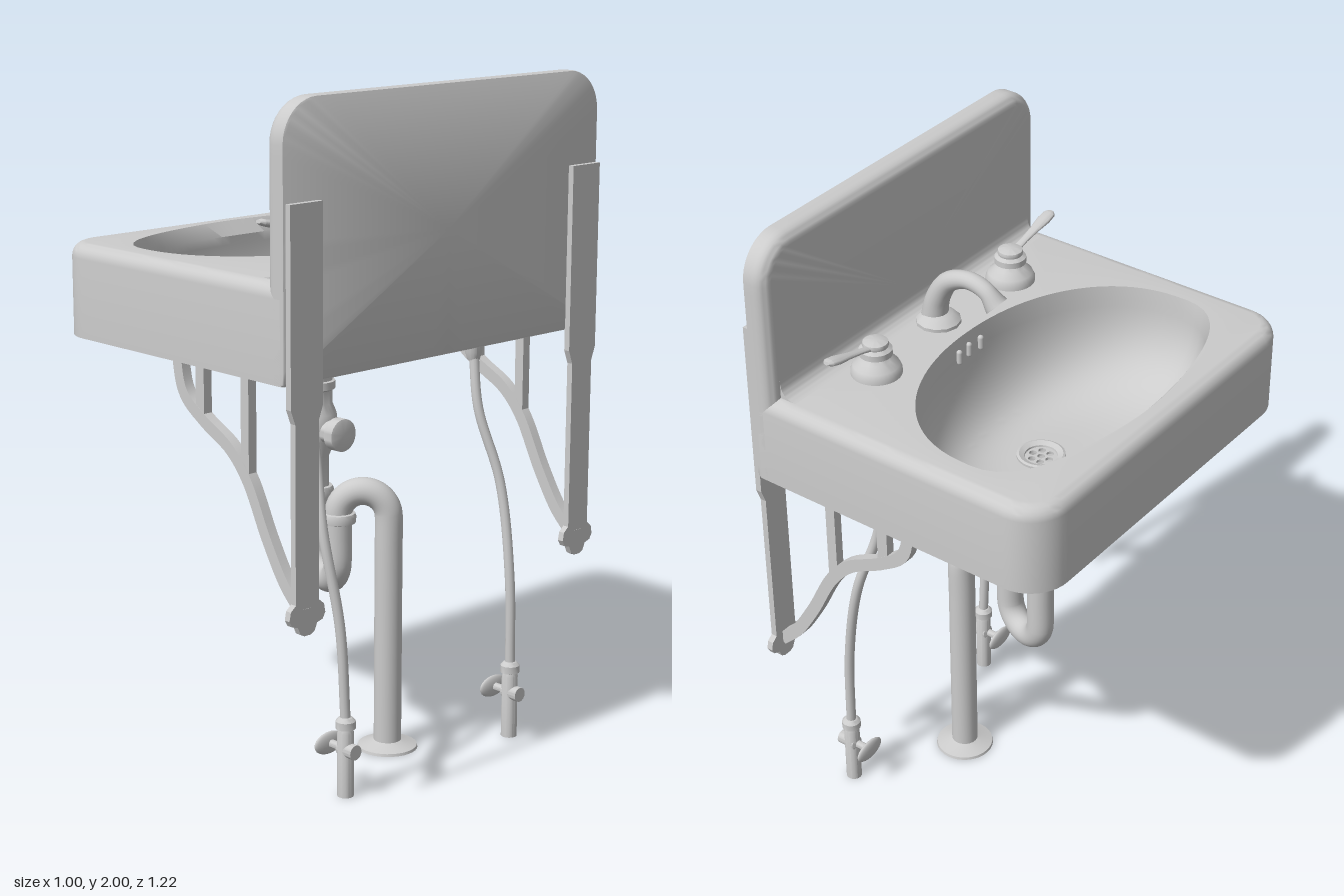
import * as THREE from 'three';
import { toCreasedNormals } from 'three/addons/utils/BufferGeometryUtils.js';

const mat = new THREE.MeshStandardMaterial({ color: 0xcccccc });
const openMat = new THREE.MeshStandardMaterial({ color: 0xcccccc, side: THREE.DoubleSide });
const V = (x, y, z) => new THREE.Vector3(x, y, z);

function add(parent, name, geo, pos = [0, 0, 0], material = mat) {
  const m = new THREE.Mesh(geo, material);
  m.name = name;
  m.position.set(...pos);
  parent.add(m);
  return m;
}

// Turned part from [radius, height] pairs, listed bottom to top
function turned(pts, sides = 32) {
  return toCreasedNormals(new THREE.LatheGeometry(pts.map(p => new THREE.Vector2(...p)), sides), 0.6);
}

// Rounded rectangle as a counter-clockwise point loop, same count for every inset
function outline(u0, u1, v0, v1, radii, inset) {
  const arcs = [[u1, v1, 1, 1], [u0, v1, -1, 1], [u0, v0, -1, -1], [u1, v0, 1, -1]].map(([u, v, su, sv], k) => {
    const r = Math.max(radii[k] - inset, 0.004);
    const cu = u - su * (inset + r), cv = v - sv * (inset + r);
    return Array.from({ length: 11 }, (_, i) => {
      const a = (k + i / 10) * Math.PI / 2;
      return [cu + r * Math.cos(a), cv + r * Math.sin(a)];
    });
  });
  return arcs.flatMap((arc, k) => {
    const a = arc[10], b = arcs[(k + 1) % 4][0];
    for (let i = 1; i < 20; i++) arc.push([a[0] + (b[0] - a[0]) * i / 20, a[1] + (b[1] - a[1]) * i / 20]);
    return arc;
  });
}

// Skin over a list of equal closed loops
function loft(rings) {
  const n = rings[0].length, index = [];
  for (let i = 0; i < rings.length - 1; i++) for (let j = 0; j < n; j++) {
    const a = i * n + j, b = i * n + (j + 1) % n;
    index.push(a, b, a + n, b, b + n, a + n);
  }
  const g = new THREE.BufferGeometry().setFromPoints(rings.flat());
  g.setIndex(index);
  g.computeVertexNormals();
  return toCreasedNormals(g, 0.6);
}

// Hollow basin: bowl, rim, deck, skirt and underside in one skin
function basinGeometry() {
  const edge = d => outline(-0.5, 0.475, -0.61, 0.61, [0.01, 0.12, 0.12, 0.01], d);
  const angles = edge(0).map(([x, z]) => Math.atan2(z, x + 0.18));
  const flat = (d, y) => edge(d).map(([x, z]) => V(x, y, z));
  const bowl = (s, y, off) => angles.map(a => {
    const c = Math.cos(a), si = Math.sin(a), left = c < 0;
    const n = left ? 2.6 : 2.1, w = left ? 0.22 : 0.38;
    const t = Math.max(0, (y - 1.48) / 0.04);
    const lip = (0.003 + 0.03 * Math.max(0, -c)) * (1 - Math.sqrt(Math.max(0, 1 - t * t)));
    const r = (Math.abs(c) / w) ** n + (Math.abs(si) / 0.515) ** n;
    const R = r ** (-1 / n) + lip + off;
    const x = -0.06 + 0.065 * c, z = 0.065 * si;
    return V(x + (-0.18 + R * c - x) * s, y, z + (R * si - z) * s);
  });
  const rings = [], under = [];
  for (let i = 0; i <= 28; i++) {
    const a = i / 28 * Math.PI / 2, p = 2 / 2.8;
    const s = Math.sin(a) ** p, h = 1 - Math.max(0, Math.cos(a)) ** p;
    rings.push(bowl(s, 1.2 + 0.32 * h, 0));
    under.unshift(bowl(s, 1.18 + 0.31 * h, 0.02));
  }
  for (let i = 0; i <= 6; i++) {
    const a = i / 6 * Math.PI / 2;
    rings.push(flat(0.04 * (1 - Math.sin(a)), 1.48 + 0.04 * Math.cos(a)));
  }
  rings.push(flat(0, 1.25), flat(0.028, 1.25), flat(0.028, 1.49), ...under, rings[0]);
  return loft(rings);
}

function backsplashGeometry() {
  const ring = (d, x) => outline(-0.61, 0.61, 1.25, 2, [0.12, 0.12, 0.005, 0.005], d).map(([z, y]) => V(x, y, z));
  const centre = x => ring(0, x).map(() => V(x, 1.6, 0));
  const rings = [centre(0.48), ring(0.008, 0.48), ring(0.002, 0.477), ring(0, 0.47)];
  for (let i = 0; i <= 6; i++) {
    const a = i / 6 * Math.PI / 2;
    rings.push(ring(0.035 * (1 - Math.cos(a)), 0.442 - 0.035 * Math.sin(a)));
  }
  rings.push(centre(0.407));
  return loft(rings);
}

// Tube along points, radius varying by a rule of 0..1
function pipe(curve, radiusAt, segs = 60, sides = 20) {
  const g = new THREE.TubeGeometry(curve, segs, 1, sides);
  const p = g.attributes.position, v = V(0, 0, 0);
  for (let i = 0; i < p.count; i++) {
    const t = Math.floor(i / (sides + 1)) / segs, c = curve.getPointAt(t);
    v.fromBufferAttribute(p, i).sub(c).multiplyScalar(radiusAt(t)).add(c);
    p.setXYZ(i, v.x, v.y, v.z);
  }
  return g;
}

// Half-circle bend between two points of equal height, up or down
function bend(a, b, dir) {
  const mid = a.clone().add(b).multiplyScalar(0.5), r = a.distanceTo(b) / 2;
  return Array.from({ length: 13 }, (_, i) => {
    const t = i / 12 * Math.PI;
    return mid.clone().addScaledVector(a.clone().sub(mid), Math.cos(t)).add(V(0, dir * r * Math.sin(t), 0));
  });
}

function bar(x0, x1, y0, y1, depth) {
  return new THREE.BoxGeometry(x1 - x0, y1 - y0, depth).translate((x0 + x1) / 2, (y0 + y1) / 2, 0);
}

export function createModel() {
  const model = new THREE.Group();
  model.name = 'wallSink';
  add(model, 'basin', basinGeometry());
  add(model, 'backsplash', backsplashGeometry());

  // Cove between deck and backsplash
  const cove = new THREE.Shape();
  cove.moveTo(0.355, 1.518);
  cove.lineTo(0.355, 1.52);
  cove.quadraticCurveTo(0.407, 1.52, 0.407, 1.575);
  cove.lineTo(0.43, 1.575);
  cove.lineTo(0.43, 1.518);
  add(model, 'cove', toCreasedNormals(new THREE.ExtrudeGeometry(cove, { depth: 1.14, bevelEnabled: false }), 0.6), [0, 0, -0.57]);
  for (const z of [-0.05, 0, 0.05]) add(model, 'overflowSlot', new THREE.CapsuleGeometry(0.009, 0.03, 4, 10), [z ? 0.192 : 0.196, 1.465, z]);

  // Drain and strainer
  add(model, 'drainFlange', turned([[0.045, 1.185], [0.048, 1.203], [0.064, 1.21], [0.071, 1.207], [0.071, 1.195]]), [-0.06, 0, 0], openMat);
  const disc = new THREE.Shape().absarc(0, 0, 0.047, 0, Math.PI * 2);
  for (let i = 0; i < 7; i++) {
    const a = i * Math.PI / 3, r = i < 6 ? 0.029 : 0;
    disc.holes.push(new THREE.Path().absarc(r * Math.cos(a), r * Math.sin(a), 0.011, 0, Math.PI * 2, true));
  }
  add(model, 'strainer', new THREE.ExtrudeGeometry(disc, { depth: 0.008, bevelEnabled: false, curveSegments: 16 }).rotateX(-Math.PI / 2), [-0.06, 1.19, 0]);
  add(model, 'drainBody', turned([[0.04, 0.76], [0.04, 0.86], [0.062, 0.91], [0.067, 0.95], [0.062, 0.99], [0.05, 1.02],
    [0.05, 1.06], [0.058, 1.065], [0.058, 1.088], [0.05, 1.09], [0.05, 1.105], [0.065, 1.14], [0.072, 1.19]]), [-0.06, 0, 0], openMat);
  add(model, 'sideOutlet', turned([[0, 0], [0.036, 0], [0.036, 0.085], [0.049, 0.087], [0.049, 0.12], [0.04, 0.123], [0, 0.123]]).rotateZ(-Math.PI / 2), [-0.06, 0.94, 0]);

  // Trap
  const a = V(-0.06, 0.58, 0), b = V(0.09, 0.58, 0.05), c = V(0.09, 0.715, 0.05), d = V(0.2, 0.715, -0.05);
  const trap = new THREE.CatmullRomCurve3([V(-0.06, 0.77, 0), V(-0.06, 0.67, 0), ...bend(a, b, -1), V(0.09, 0.65, 0.05),
    ...bend(c, d, 1), V(0.2, 0.6, -0.05), V(0.2, 0.3, -0.05), V(0.2, 0, -0.05)]);
  add(model, 'trapPipe', pipe(trap, () => 0.041, 160, 24), [0, 0, 0], openMat);
  const collar = () => turned([[0.04, 0], [0.052, 0.004], [0.054, 0.022], [0.05, 0.032], [0.04, 0.034]]);
  add(model, 'trapCollar', collar(), [-0.06, 0.735, 0]);
  add(model, 'trapCollar', collar(), [0.09, 0.69, 0.05]);
  add(model, 'floorFlange', turned([[0, 0], [0.09, 0], [0.088, 0.008], [0.055, 0.018], [0.04, 0.024]]), [0.2, 0, -0.05]);

  // Supply lines with stop valves
  for (const zs of [[0.32, 0.3, 0.33, 0.31, 0.3], [-0.37, -0.36, -0.39, -0.385, -0.38]]) {
    const line = new THREE.Group();
    line.name = 'supplyLine';
    model.add(line);
    const xy = [[0.228, 1.17], [0.26, 1], [0.325, 0.78], [0.375, 0.5], [0.388, 0.22]];
    add(line, 'hose', pipe(new THREE.CatmullRomCurve3(xy.map(([x, y], i) => V(x, y, zs[i]))), () => 0.015, 40, 12), [0, 0, 0], openMat);
    add(line, 'topFitting', turned([[0, 1.14], [0.018, 1.14], [0.026, 1.165], [0.026, 1.205], [0.017, 1.21], [0.017, 1.5]], 16), [0.228, 0, zs[0]]);
    add(line, 'valveBody', turned([[0, 0], [0.024, 0], [0.024, 0.19], [0.021, 0.2], [0.029, 0.203], [0.029, 0.225], [0.02, 0.235], [0, 0.24]], 16), [0.388, 0, zs[4]]);
    add(line, 'valveStem', turned([[0, 0], [0.012, 0], [0.012, 0.04], [0.022, 0.045], [0.022, 0.105], [0, 0.105]], 16).rotateZ(-Math.PI / 2), [0.325, 0.14, zs[4]]);
    const knob = add(line, 'valveKnob', new THREE.SphereGeometry(1, 24, 12), [0.32, 0.14, zs[4]]);
    knob.scale.set(0.012, 0.033, 0.056);
  }

  // Wall brackets
  const half = [[0.057, 1.73], [0.057, 1.19], [0.042, 1.15], [0.042, 0.655], [0.06, 0.64], [0.065, 0.615], [0.055, 0.598], [0.035, 0.592], [0.025, 0.57], [0.012, 0.563]];
  const plate = new THREE.Shape([...half.map(([z, y]) => new THREE.Vector2(z, y)), ...half.map(([z, y]) => new THREE.Vector2(-z, y)).reverse()]);
  const path = new THREE.CatmullRomCurve3([V(-0.015, 1.48, 0), V(-0.015, 1.22, 0), V(0.01, 1.145, 0), V(0.09, 1.085, 0),
    V(0.2, 1.025, 0), V(0.27, 0.95, 0), V(0.35, 0.8, 0), V(0.42, 0.69, 0), V(0.485, 0.625, 0)]);
  const side = k => path.getSpacedPoints(50).map((p, i) => {
    const t = path.getTangentAt(i / 50);
    return new THREE.Vector2(p.x - t.y * k, p.y + t.x * k);
  });
  const arm = new THREE.Shape([...side(0.019), ...side(-0.019).reverse()]);
  for (const s of [1, -1]) {
    const bracket = new THREE.Group();
    bracket.name = 'bracket';
    bracket.position.z = s * 0.545;
    model.add(bracket);
    add(bracket, 'wallPlate', new THREE.ExtrudeGeometry(plate, { depth: 0.019, bevelEnabled: false }).rotateY(-Math.PI / 2), [0.498, 0, 0]);
    add(bracket, 'arm', toCreasedNormals(new THREE.ExtrudeGeometry(arm, { depth: 0.03, bevelEnabled: false }), 0.6), [0, 0, -0.015]);
    add(bracket, 'frontStrut', bar(0.06, 0.095, 1.1, 1.48, 0.028));
    add(bracket, 'rearStrut', bar(0.248, 0.28, 0.97, 1.48, 0.028));
    add(bracket, 'topRail', bar(-0.03, 0.48, 1.455, 1.485, 0.028));
  }

  // Spout
  const spout = new THREE.CatmullRomCurve3([V(0.32, 1.53, 0), V(0.305, 1.6, 0), V(0.265, 1.665, 0), V(0.195, 1.694, 0), V(0.135, 1.682, 0), V(0.095, 1.645, 0)]);
  add(model, 'spout', pipe(spout, t => 0.04 - 0.014 * Math.min(1, t * 1.6) + 0.01 * Math.max(0, t - 0.88) / 0.12), [0, 0, 0], openMat);
  add(model, 'spoutBase', turned([[0, 1.515], [0.066, 1.515], [0.066, 1.53], [0.058, 1.538], [0.042, 1.55], [0, 1.56]], 12), [0.305, 0, 0]);

  // Taps with lever handles
  for (const s of [1, -1]) {
    const tap = new THREE.Group();
    tap.name = 'tap';
    tap.position.set(0.28, 1.52, s * 0.312);
    model.add(tap);
    add(tap, 'tapBody', turned([[0.073, -0.005], [0.073, 0.012], [0.066, 0.028], [0.045, 0.045], [0.036, 0.056], [0.047, 0.06],
      [0.047, 0.078], [0.036, 0.086], [0.038, 0.092], [0.036, 0.1], [0.02, 0.106], [0, 0.107]]));
    const lever = add(tap, 'lever', turned([[0, 0], [0.014, 0.005], [0.012, 0.06], [0.015, 0.11], [0.021, 0.16], [0.019, 0.19], [0.01, 0.202], [0, 0.204]], 20)
      .scale(1, 1, 0.5), [0, 0.085, s * 0.01]);
    lever.rotation.x = s * 1.33;
  }
  return model;
}
